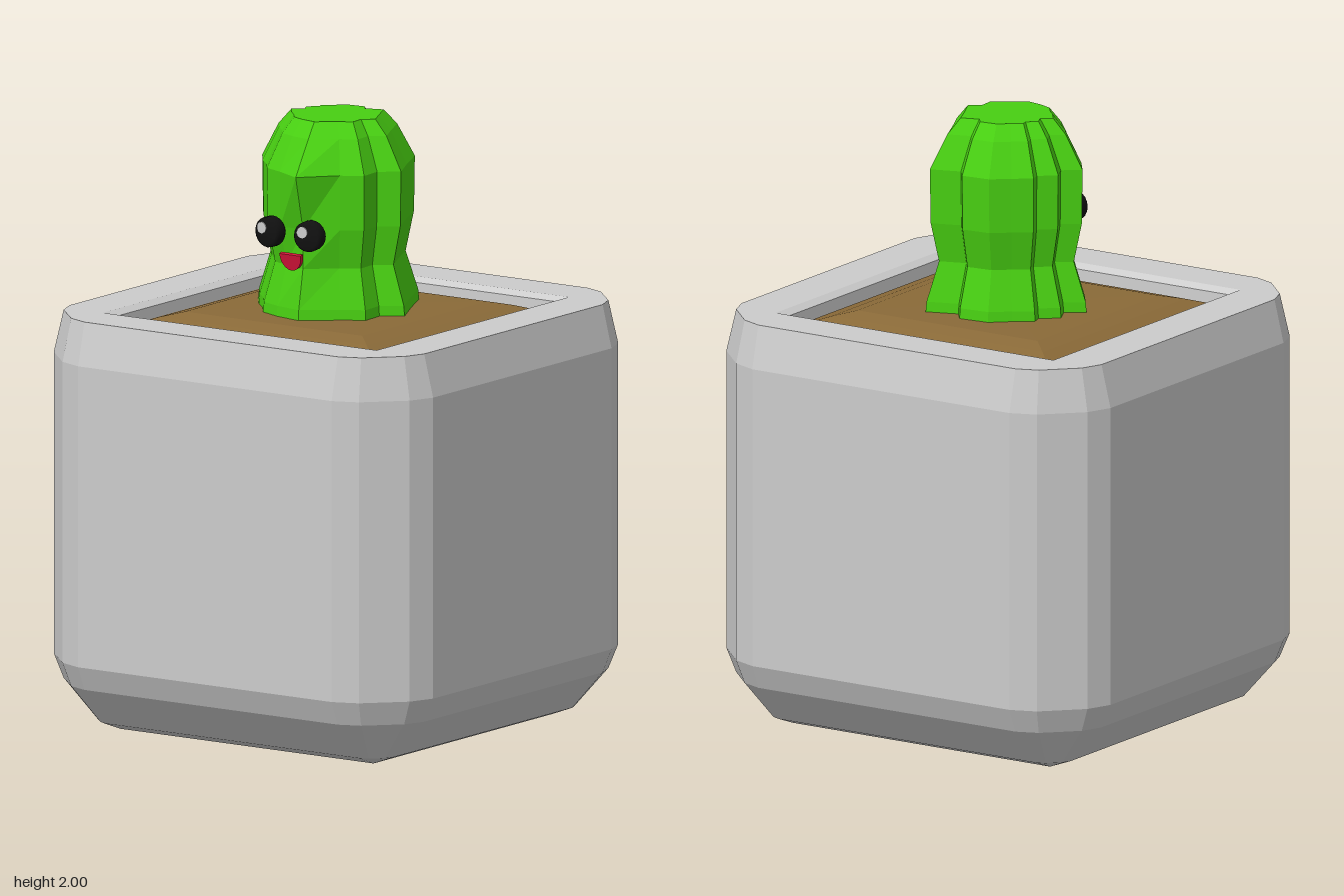
import * as THREE from 'three';

const mat = (color, extra = {}) => new THREE.MeshStandardMaterial({ color, ...extra });

function add(parent, name, geometry, material) {
  const mesh = new THREE.Mesh(geometry, material);
  mesh.name = name;
  parent.add(mesh);
  return mesh;
}

// Faceted skin through rings of points; points run from +x towards +z
function loft(rings) {
  const pos = [];
  const tri = (a, b, c) => {
    const area = b.clone().sub(a).cross(c.clone().sub(a)).length();
    if (area > 1e-8) for (const p of [a, b, c]) pos.push(p.x, p.y, p.z);
  };
  for (let r = 0; r < rings.length - 1; r++) {
    const lo = rings[r], hi = rings[r + 1], n = lo.length;
    for (let i = 0; i < n; i++) {
      const j = (i + 1) % n;
      tri(lo[i], hi[i], lo[j]);
      tri(lo[j], hi[i], hi[j]);
    }
  }
  const g = new THREE.BufferGeometry();
  g.setAttribute('position', new THREE.Float32BufferAttribute(pos, 3));
  g.computeVertexNormals();
  return g;
}

// Square ring with bevelled corners: a core square plus a corner radius
function squareRing(y, core, r) {
  const arc = [[1, 0], [0.86, 0.36], [0.36, 0.86], [0, 1]];
  const ring = [];
  for (let q = 0; q < 4; q++) {
    const turn = [[1, 0], [0, 1], [-1, 0], [0, -1]][q];
    for (const [u, v] of arc) {
      const x = core + r * u, z = core + r * v;
      ring.push(new THREE.Vector3(x * turn[0] - z * turn[1], y, x * turn[1] + z * turn[0]));
    }
  }
  return ring;
}

// Irregular ribbed outline of the cactus at its foot [x, z]
const RIBS = [
  [0.28, 0.01], [0.215, 0.06], [0.22, 0.145], [0.15, 0.19], [0.04, 0.27],
  [-0.06, 0.25], [-0.135, 0.22], [-0.18, 0.16], [-0.23, 0.11], [-0.285, 0.035],
  [-0.225, -0.01], [-0.255, -0.07], [-0.2, -0.12], [-0.21, -0.155], [-0.15, -0.2],
  [-0.09, -0.25], [0.015, -0.26], [0.05, -0.215], [0.155, -0.25], [0.22, -0.11],
];

function ribRing(y, scale, frontScale = scale) {
  return RIBS.map(([x, z], i) => {
    const s = i === 4 ? frontScale : scale;
    return new THREE.Vector3(x * s, y, z * s);
  });
}

export function createModel() {
  const model = new THREE.Group();

  // Bevelled cube pot with an open, chamfered rim
  const potRings = [
    [0, 0, 0], [0, 0.5, 0], [0.03, 0.5, 0.08], [0.16, 0.5, 0.2], [0.24, 0.5, 0.235],
    [1.23, 0.5, 0.235], [1.37, 0.5, 0.2],
    [1.37, 0.54, 0], [1.355, 0.515, 0], [1.28, 0.51, 0],
  ];
  add(model, 'pot', loft(potRings.map((r) => squareRing(...r))),
    mat(0xcccccc, { flatShading: true, side: THREE.DoubleSide }));

  // Gently mounded soil
  const soilRings = [[1.28, 0.51, 0], [1.32, 0.5, 0], [1.35, 0.41, 0], [1.365, 0.35, 0], [1.37, 0, 0]];
  add(model, 'soil', loft(soilRings.map((r) => squareRing(...r))),
    mat(0x8a6a38, { flatShading: true }));

  // Ribbed cactus with a pinched waist and flat crown
  const cactusRings = [
    [1.34, 0], [1.34, 1], [1.4, 0.98], [1.53, 0.83, 0.87], [1.66, 0.93, 0.87],
    [1.84, 0.94, 1.06], [1.95, 0.73], [2, 0.57], [2, 0],
  ];
  add(model, 'cactus', loft(cactusRings.map((r) => ribRing(...r))),
    mat(0x48cf12, { flatShading: true }));

  // Face
  const face = new THREE.Group();
  face.name = 'face';
  model.add(face);

  const black = mat(0x111111);
  const white = mat(0xeeeeee);
  const eyeProfile = [[0, -0.03], [0.043, -0.03], [0.05, -0.02], [0.05, 0.01], [0.04, 0.019], [0, 0.021]]
    .map(([r, y]) => new THREE.Vector2(r, y));
  for (const [side, x, z, yaw] of [['right', -0.077, 0.264, -0.06], ['left', 0.073, 0.254, 0.15]]) {
    const eye = new THREE.Group();
    eye.name = side + 'Eye';
    eye.position.set(x, 1.645, z);
    eye.rotation.y = yaw;
    face.add(eye);
    add(eye, 'eyeball', new THREE.LatheGeometry(eyeProfile, 20), black).rotation.x = Math.PI / 2;
    const glint = add(eye, 'glint', new THREE.CylinderGeometry(0.019, 0.019, 0.01, 14), white);
    glint.rotation.x = Math.PI / 2;
    glint.position.set(-0.015, 0.015, 0.018);
  }

  // Half-round smiling mouth, leaning with the body
  const smile = new THREE.Shape();
  smile.moveTo(-0.042, 0);
  smile.lineTo(-0.038, -0.025);
  smile.quadraticCurveTo(-0.025, -0.055, 0, -0.055);
  smile.quadraticCurveTo(0.025, -0.055, 0.038, -0.025);
  smile.lineTo(0.042, 0);
  const mouth = add(face, 'mouth',
    new THREE.ExtrudeGeometry(smile, { depth: 0.015, bevelEnabled: false, curveSegments: 4 }),
    mat(0xd8143a));
  mouth.position.set(0, 1.58, 0.245);
  mouth.rotation.x = 0.22;

  return model;
}
